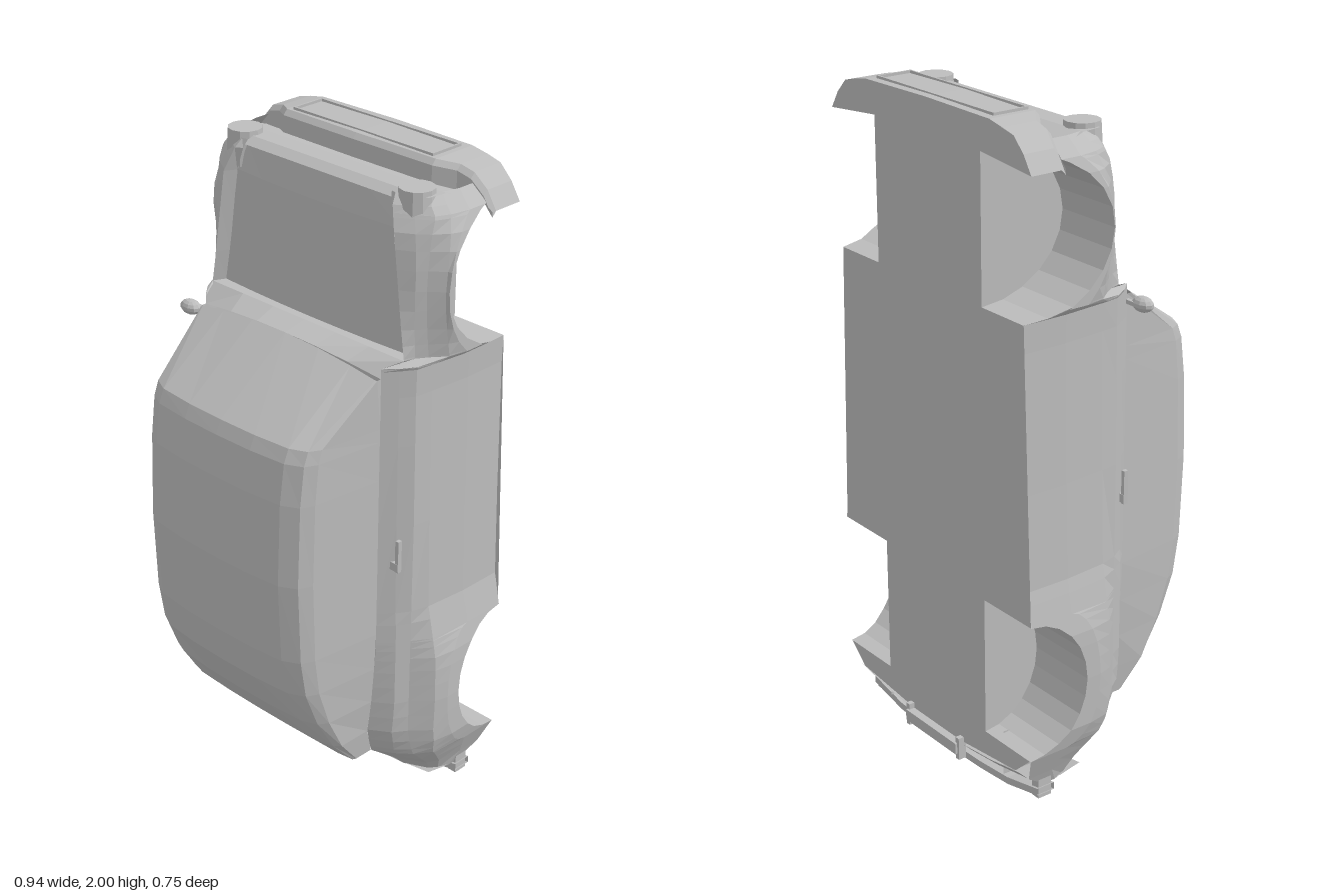
import * as THREE from 'three';

const paint = new THREE.MeshStandardMaterial({ name: 'bodyGrey', color: 0xbcbcbc, flatShading: true, side: THREE.DoubleSide });

// Piecewise linear lookup in a table of [key, value] pairs
function lookup(table, k) {
  if (k <= table[0][0]) return table[0][1];
  for (let i = 1; i < table.length; i++) {
    const [k0, v0] = table[i - 1], [k1, v1] = table[i];
    if (k <= k1) return v0 + (v1 - v0) * (k - k0) / (k1 - k0);
  }
  return table[table.length - 1][1];
}

// Skin over a list of cross-sections, each a list of [x, y, z]
function skin(rows, flip = false) {
  const n = rows[0].length, index = [];
  for (let i = 0; i < rows.length - 1; i++) for (let j = 0; j < n - 1; j++) {
    const a = i * n + j, b = a + 1, c = a + n, d = c + 1;
    if (flip) index.push(a, c, b, b, c, d); else index.push(a, b, c, b, d, c);
  }
  const g = new THREE.BufferGeometry();
  g.setAttribute('position', new THREE.Float32BufferAttribute(rows.flat(2), 3));
  g.setIndex(index);
  g.computeVertexNormals();
  return g;
}

// Body outline along its length (y); the nose points to +y and the roof to +z
const width = [[0.07, 0.395], [0.12, 0.415], [0.2, 0.45], [0.26, 0.466], [0.4, 0.47], [0.55, 0.467], [0.64, 0.45], [0.72, 0.433],
  [1, 0.425], [1.4, 0.418], [1.48, 0.42], [1.5, 0.452], [1.78, 0.457], [1.85, 0.448], [1.9, 0.43], [1.945, 0.385]];
const beltZ = [[0.07, -0.13], [0.12, -0.08], [0.21, 0.03], [0.3, 0.06], [1.49, 0.06], [1.505, 0.005], [1.85, 0], [1.92, -0.02], [1.945, -0.04]];
const beltX = [[0.07, 0.29], [0.21, 0.305], [0.4, 0.33], [0.6, 0.345], [1.49, 0.345], [1.505, 0.375], [1.6, 0.36], [1.85, 0.325], [1.945, 0.29]];
const roofZ = [[0.21, 0.115], [0.3, 0.205], [0.41, 0.28], [0.53, 0.335], [0.65, 0.358], [0.9, 0.37], [1.15, 0.36], [1.27, 0.343], [1.31, 0.325], [1.49, 0.08]];
const arches = [{ y: 0.41, r: 0.21, h: 0.185, end: 0.62 }, { y: 1.7, r: 0.22, h: 0.27, end: 1.9 }];
const FLOOR = -0.35, WELL = 0.24;

function bottomZ(y) {
  for (const a of arches) {
    const t = (y - a.y) / a.r;
    if (Math.abs(t) < 1 && y <= a.end + 1e-6) return FLOOR + a.h * Math.sqrt(1 - t * t);
  }
  return y > 1.9 ? -0.24 : lookup([[0.07, -0.26], [0.12, -0.33], [0.2, FLOOR]], y);
}

function archStations(a) {
  const ys = [];
  for (let i = 0; i <= 12; i++) ys.push(Math.min(a.end, a.y - a.r * Math.cos(Math.PI * i / 12)));
  return [...new Set(ys)];
}

// Lower body side from sill or arch edge up to the belt line
function sideSection(y, s) {
  const b = bottomZ(y), w = lookup(width, y), bx = lookup(beltX, y);
  const k = (lookup(beltZ, y) - b) / (0.06 - b);
  const z = (v) => b + (v - b) * k;
  return [
    [w, b], [w, (b + z(-0.07)) / 2], [w - 0.012, Math.max(b, z(-0.075))],
    [Math.min(0.405, bx + (w - bx) * 0.75), z(-0.02)], [Math.min(0.385, bx + (w - bx) * 0.4), z(0.02)], [bx, z(0.06)],
  ].map(([x, v]) => [s * x, y, v]);
}

export function createModel() {
  const car = new THREE.Group();
  car.name = 'carBody';
  const add = (name, geometry, x = 0, y = 0, z = 0) => {
    const m = new THREE.Mesh(geometry, paint);
    m.name = name;
    m.position.set(x, y, z);
    car.add(m);
    return m;
  };
  const box = (name, w, h, d, x, y, z) => add(name, new THREE.BoxGeometry(w, h, d), x, y, z);

  // Sides, wheel wells, fender ridges and small side fittings
  const ys = [0.07, 0.12, 0.16, ...archStations(arches[0]), 0.68, 0.72, 1, 1.25, 1.4, ...archStations(arches[1]),
    1.49, 1.505, 1.901, 1.92, 1.945].sort((a, b) => a - b);
  for (const s of [1, -1]) {
    const side = s > 0 ? 'left' : 'right', flip = s > 0;
    add(side + 'BodySide', skin(ys.map((y) => sideSection(y, s)), !flip));
    arches.forEach((a, i) => {
      const rows = archStations(a).map((y) => [[s * WELL, y, FLOOR], [s * WELL, y, bottomZ(y)], [s * lookup(width, y), y, bottomZ(y)]]);
      rows.push([[s * WELL, a.end, FLOOR], [s * WELL, a.end, FLOOR], [s * lookup(width, a.end), a.end, FLOOR]]);
      add(side + (i ? 'Front' : 'Rear') + 'WheelWell', skin(rows, !flip));
    });
    const ridge = [1.505, 1.6, 1.75, 1.85, 1.92, 1.945].map((y) => {
      const x = lookup(beltX, y), z = lookup(beltZ, y);
      return [[s * x, y, z], [s * (x - 0.018), y, Math.min(z, -0.03) - 0.005]];
    });
    add(side + 'FenderRidge', skin(ridge, !flip));
    add(side + 'EngineBayWall', skin([0.07, 0.12, 0.21].map((y) =>
      [[s * lookup(beltX, y), y, lookup(beltZ, y)], [s * 0.285, y, -0.32]]), !flip));
    add(side + 'Headlight', new THREE.CylinderGeometry(0.05, 0.056, 0.1, 12), s * 0.325, 1.91, -0.085);
    box(side + 'DoorHandle', 0.012, 0.1, 0.014, s * 0.391, 0.915, 0.025);
    box(side + 'DoorHandleMount', 0.03, 0.025, 0.016, s * 0.38, 0.88, 0.025);
    box(side + 'BumperPost', 0.03, 0.1, 0.045, s * 0.39, 0.085, -0.265);
  }

  // Cabin: side glass area, rounded roof and windscreen in one skin
  const cabin = roofZ.map(([y, rz]) => {
    const bx = lookup(beltX, y), bz = lookup(beltZ, y), k = lookup([[1.31, 0], [1.49, 1]], y);
    const half = [[bx, 0], [Math.min(bx, 0.318) + 0.027 * k, 0.73], [0.3 + 0.04 * k, 0.86], [0.25, 0.95], [0.13, 0.99]];
    const at = ([x, t], s) => [s * x, y - k * 0.25 * x * x, bz + (rz - bz) * t];
    return [...half.map((p) => at(p, -1)), at([0, 1], 1), ...half.map((p) => at(p, 1)).reverse()];
  });
  add('cabin', skin(cabin));

  // Cowl below the windscreen, hood and nose
  const across = (f) => [-1, -0.66, -0.33, 0, 0.33, 0.66, 1].map(f);
  add('cowl', skin([
    across((u) => [u * 0.375, 1.505, -0.035]),
    across((u) => [u * 0.375, 1.505, 0.005]),
    across((u) => [u * 0.345, 1.49 - 0.03 * u * u, 0.08 - 0.02 * u * u]),
  ]));
  add('hood', skin([1.505, 1.6, 1.75, 1.85, 1.93].map((y) => across((u) =>
    [u * (lookup(beltX, y) - 0.016), y, lookup([[1.5, -0.02], [1.85, -0.027], [1.93, -0.04]], y) - 0.012 * u * u]))));
  add('nose', skin([[1.93, -0.04, 0.3], [1.947, -0.07, 0.38], [1.945, -0.13, 0.385], [1.93, -0.18, 0.39], [1.91, -0.24, 0.4]]
    .map(([y, z, w]) => across((u) => [u * w, y, z]))));

  // Front bumper, with a thin framed intake
  const bumper = [[0, 1.996, -0.18], [0.28, 1.992, -0.19], [0.335, 1.982, -0.228], [0.38, 1.97, -0.232], [0.42, 1.93, -0.24], [0.452, 1.88, -0.24]];
  const bumperRows = [...bumper.slice(1).reverse().map(([x, y, z]) => [-x, y, z]), ...bumper];
  add('frontBumper', skin(bumperRows.map(([x, y, z]) =>
    [[x, y, FLOOR], [x, y, z - 0.014], [x, y - 0.015, z], [x, Math.min(1.9, y), z]])));
  for (const s of [1, -1]) {
    box('intakeFrameUpright', 0.006, 0.008, 0.11, s * 0.26, 1.996, -0.268);
    box('intakeFrameRail', 0.526, 0.008, 0.006, 0, 1.996, -0.268 + s * 0.053);
  }

  // Floor with notches for the wheels
  const half = [[0.38, 0.14], [0.445, 0.2], [WELL, 0.2], [WELL, 0.62], [0.45, 0.62], [0.42, 1.48], [WELL, 1.48],
    [WELL, 1.9], [0.452, 1.88], [0.42, 1.93], [0.38, 1.97], [0.28, 1.992]];
  const outline = [[0, 0.1], ...half, [0, 1.996], ...half.map(([x, y]) => [-x, y]).reverse()];
  const floor = new THREE.ShapeGeometry(new THREE.Shape(outline.map(([x, y]) => new THREE.Vector2(x, y))));
  add('floor', floor.rotateY(Math.PI), 0, 0, FLOOR);

  // Rear valance and curved rear bumper bar
  add('rearValance', skin([[0.05, -0.13], [0.035, -0.2], [0.035, -0.27], [0.07, -0.32], [0.1, FLOOR]].map(([y, z]) =>
    across((u) => [u * 0.395, y + 0.04 * u * u, z])), true));
  const bar = [[0, -0.235], [0, -0.295], [0.022, -0.295], [0.022, -0.235], [0, -0.235]];
  add('rearBumper', skin(across((u) => bar.map(([y, z]) => [u * 0.41, y + 0.005 + 0.03 * u * u + 0.015 * u ** 6, z]))));

  // Exhaust box under the tail and fittings in the engine bay
  box('exhaustBox', 0.25, 0.035, 0.03, 0, 0.095, -0.36);
  for (const s of [1, -1]) box('exhaustHanger', 0.016, 0.07, 0.026, s * 0.125, 0.095, -0.355);
  box('engineBlock', 0.1, 0.06, 0.05, 0.1, 0.175, 0);
  box('engineBracket', 0.3, 0.025, 0.03, -0.05, 0.195, 0);

  // Door mirror on the right side
  add('mirror', new THREE.SphereGeometry(1, 10, 7).scale(0.037, 0.022, 0.025), -0.393, 1.44, 0.076);
  box('mirrorStem', 0.05, 0.012, 0.012, -0.355, 1.44, 0.06);

  return car;
}
